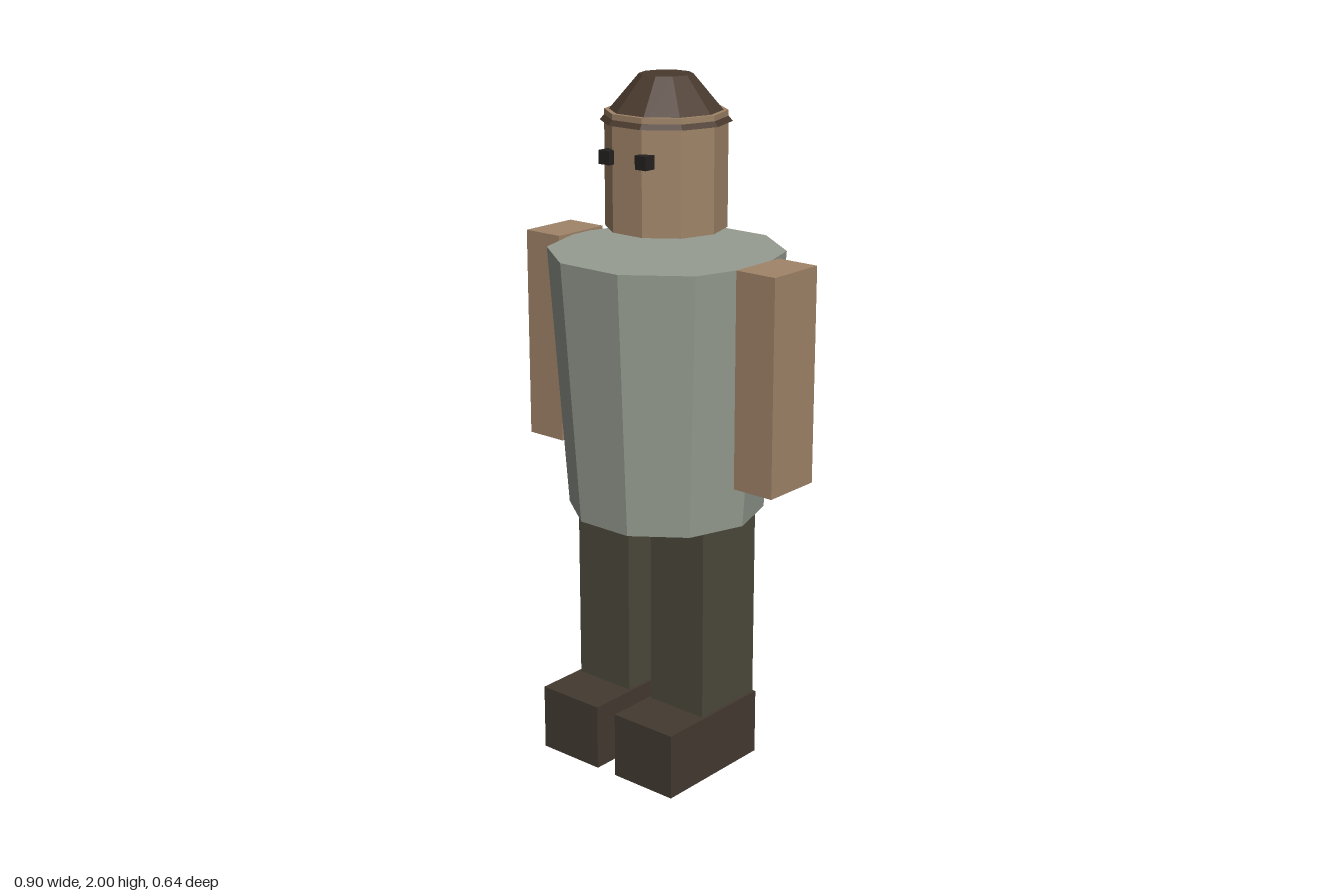
import * as THREE from 'three';

const material = (color) => new THREE.MeshStandardMaterial({ color, flatShading: true });

export function createModel() {
  const model = new THREE.Group();
  model.name = 'figure';
  const skin = material(0xa08468);
  const shirt = material(0x969c91);
  const trousers = material(0x4c483c);
  const leather = material(0x433a31);
  const hair = material(0x4a3a2e);
  const dark = material(0x24211f);

  // Ten-sided tapered drum with a flat side facing the front
  function drum(name, rTop, rBottom, y0, y1, mat) {
    const geometry = new THREE.CylinderGeometry(rTop, rBottom, y1 - y0, 10, 1, false, Math.PI / 10);
    const mesh = new THREE.Mesh(geometry, mat);
    mesh.name = name;
    mesh.position.y = (y0 + y1) / 2;
    model.add(mesh);
  }

  // Box given by its limits on each axis, built on both sides of the body
  function boxPair(name, [x0, x1], [y0, y1], [z0, z1], mat) {
    for (const side of [1, -1]) {
      const mesh = new THREE.Mesh(new THREE.BoxGeometry(x1 - x0, y1 - y0, z1 - z0), mat);
      mesh.name = (side > 0 ? 'left' : 'right') + name;
      mesh.position.set((side * (x0 + x1)) / 2, (y0 + y1) / 2, (z0 + z1) / 2);
      model.add(mesh);
    }
  }

  // Torso, head and the cap whose rim the head pokes through
  drum('torso', 0.335, 0.282, 0.76, 1.515, shirt);
  drum('head', 0.17, 0.17, 1.58, 1.903, skin);
  drum('cap', 0.074, 0.182, 1.873, 2, hair);

  // Face and limbs
  boxPair('Eye', [0.046, 0.084], [1.768, 1.806], [0.145, 0.182], dark);
  boxPair('Arm', [0.323, 0.452], [0.905, 1.52], [-0.092, 0.092], skin);
  boxPair('Leg', [0.043, 0.237], [0.195, 0.76], [-0.115, 0.118], trousers);
  boxPair('Shoe', [0.034, 0.247], [0, 0.195], [-0.117, 0.268], leather);

  return model;
}
